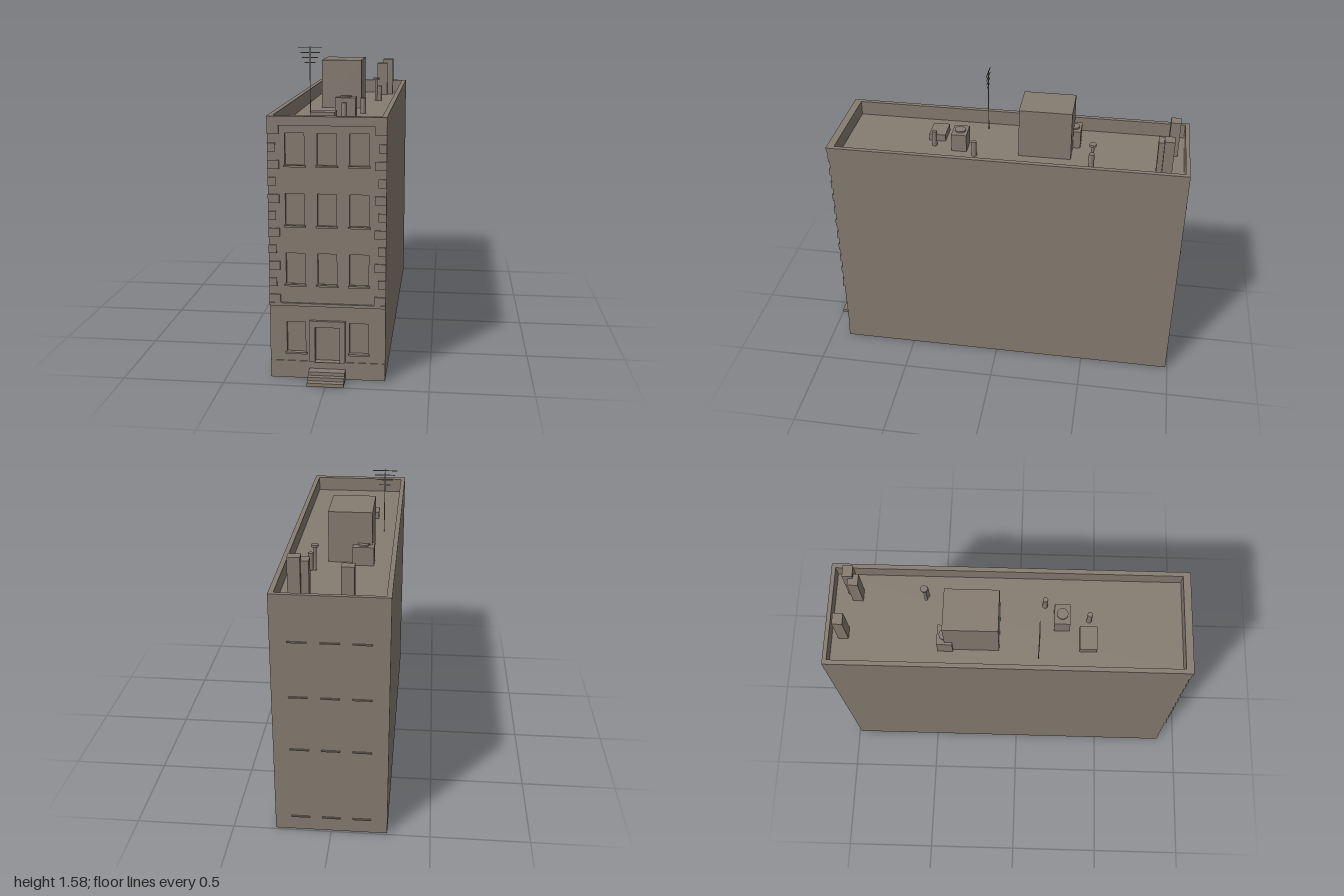
import * as THREE from 'three';

const W = 0.283, FRONT = 0.895, BACK = -0.99, TOP = 1.3, ROOF = 1.22;
const COLS = [-0.154, 0, 0.154];
const ROWS = [0.132, 0.479, 0.772, 1.065];   // bottoms of the window openings
const WIN_W = 0.092, WIN_H = 0.157;

const stone = new THREE.MeshStandardMaterial({ color: 0x867c71, side: THREE.DoubleSide, flatShading: true });
stone.name = 'taupe stone';

function rect(Type, x0, y0, x1, y1) {
  const s = new Type();
  s.moveTo(x0, y0);
  s.lineTo(x1, y0);
  s.lineTo(x1, y1);
  s.lineTo(x0, y1);
  s.closePath();
  return s;
}

export function createModel() {
  const group = new THREE.Group();
  group.name = 'townhouse';

  const add = (name, geometry, x = 0, y = 0, z = 0) => {
    const m = new THREE.Mesh(geometry, stone);
    m.name = name;
    m.position.set(x, y, z);
    group.add(m);
    return m;
  };
  // box given by its limits
  const box = (name, x0, x1, y0, y1, z0, z1) =>
    add(name, new THREE.BoxGeometry(x1 - x0, y1 - y0, z1 - z0), (x0 + x1) / 2, (y0 + y1) / 2, (z0 + z1) / 2);
  const rod = (name, x, z, r, y0, y1, sides = 12) =>
    add(name, new THREE.CylinderGeometry(r, r, y1 - y0, sides), x, (y0 + y1) / 2, z);

  // thin side and back walls, open underneath
  for (const s of [-1, 1]) {
    add('sideWall', new THREE.PlaneGeometry(FRONT - BACK, TOP), s * W, TOP / 2, (FRONT + BACK) / 2).rotation.y = s * Math.PI / 2;
  }
  add('backWall', new THREE.PlaneGeometry(2 * W, TOP), 0, TOP / 2, BACK).rotation.y = Math.PI;

  // front wall with window and door openings
  const wall = rect(THREE.Shape, -W, 0, W, TOP);
  ROWS.forEach((y, row) => COLS.forEach((x, col) => {
    if (row === 0 && col === 1) return;
    wall.holes.push(rect(THREE.Path, x - WIN_W / 2, y, x + WIN_W / 2, y + WIN_H));
    add('windowPane', new THREE.PlaneGeometry(WIN_W, WIN_H), x, y + WIN_H / 2, FRONT - 0.018);
    box('windowSill', x - 0.053, x + 0.053, y - 0.007, y + 0.002, FRONT - 0.01, FRONT + 0.01);
  }));
  wall.holes.push(rect(THREE.Path, -0.06, 0.088, 0.06, 0.268));
  add('frontWall', new THREE.ExtrudeGeometry(wall, { depth: 0.02, bevelEnabled: false }), 0, 0, FRONT - 0.02);

  // door, surround and steps
  add('door', new THREE.PlaneGeometry(0.12, 0.18), 0, 0.178, FRONT - 0.0195);
  const surround = rect(THREE.Shape, -0.087, 0.088, 0.087, 0.3);
  surround.holes.push(rect(THREE.Path, -0.06, 0.088, 0.06, 0.268));
  add('doorSurround', new THREE.ExtrudeGeometry(surround, { depth: 0.015, bevelEnabled: false }), 0, 0, FRONT);
  [1, 0.97, 0.945].forEach((z, i) => box('doorStep', -0.089, 0.089, i * 0.0173, (i + 1) * 0.0173, FRONT, z));

  // horizontal mouldings on the front
  box('plinth', -W, W, 0, 0.088, FRONT, FRONT + 0.004);
  box('stringCourse', -W, W, 0.372, 0.387, FRONT, FRONT + 0.01);
  box('lowerCornice', -W, W, 1.255, 1.273, FRONT, FRONT + 0.006);
  box('middleCornice', -W, W, 1.273, 1.29, FRONT, FRONT + 0.009);
  box('upperCornice', -W, W, 1.29, TOP, FRONT, FRONT + 0.013);

  // corner quoins, long and short in turn
  const pitch = (1.255 - 0.387) / 21;
  for (let i = 0; i < 21; i += 2) {
    const len = i % 4 === 0 ? 0.055 : 0.038, y = 0.387 + i * pitch;
    box('quoin', -W, -W + len, y, y + pitch, FRONT, FRONT + 0.007);
    box('quoin', W - len, W, y, y + pitch, FRONT, FRONT + 0.007);
  }

  // sills on the back
  for (const y of [0.082, 0.479, 0.772, 1.065]) {
    for (const x of COLS) box('backSill', x - 0.047, x + 0.047, y - 0.006, y, BACK, BACK - -0.0 - 0.008);
  }

  // parapet ring and sunken roof
  const ring = rect(THREE.Shape, -W, -FRONT, W, -BACK);
  ring.holes.push(rect(THREE.Path, -0.258, -0.868, 0.258, 0.968));
  add('parapet', new THREE.ExtrudeGeometry(ring, { depth: TOP - ROOF, bevelEnabled: false }), 0, ROOF, 0).rotation.x = -Math.PI / 2;
  add('roof', new THREE.PlaneGeometry(0.516, 1.836), 0, ROOF, -0.05).rotation.x = -Math.PI / 2;

  // roof house and skylight
  box('roofHouse', -0.155, 0.07, ROOF, 1.49, -0.37, -0.09);
  box('skylight', -0.15, -0.02, ROOF, 1.258, 0.328, 0.418);

  // cooling units with a fan on top
  for (const [x0, x1, z0, z1] of [[-0.167, -0.058, -0.41, -0.33], [-0.037, 0.074, 0.193, 0.275]]) {
    box('coolingUnit', x0, x1, ROOF, 1.318, z0, z1);
    rod('coolingFan', (x0 + x1) / 2, (z0 + z1) / 2, 0.03, 1.318, 1.326, 16);
  }

  // chimneys
  box('chimney', -0.11, -0.048, ROOF, 1.42, -0.933, -0.88);
  box('chimney', 0.106, 0.17, ROOF, 1.42, -0.875, -0.82);
  box('chimney', 0.143, 0.204, ROOF, 1.445, -0.9, -0.848);

  // vent pipes, one of them capped
  rod('ventPipe', 0.103, 0.145, 0.014, ROOF, 1.305);
  rod('ventPipe', 0.025, 0.378, 0.014, ROOF, 1.305);
  rod('ventPipe', 0.146, -0.484, 0.015, ROOF, 1.31);
  rod('cappedVent', 0.125, -0.487, 0.008, ROOF, 1.345);
  rod('ventCap', 0.125, -0.487, 0.019, 1.345, 1.357);

  // aerial
  rod('aerialMast', -0.192, 0.115, 0.0025, ROOF, 1.58, 6);
  [[1.57, 0.066], [1.545, 0.055], [1.518, 0.043], [1.49, 0.031]].forEach(([y, half]) =>
    box('aerialBar', -0.192 - half, -0.192 + half, y - 0.002, y + 0.002, 0.113, 0.117));

  return group;
}
